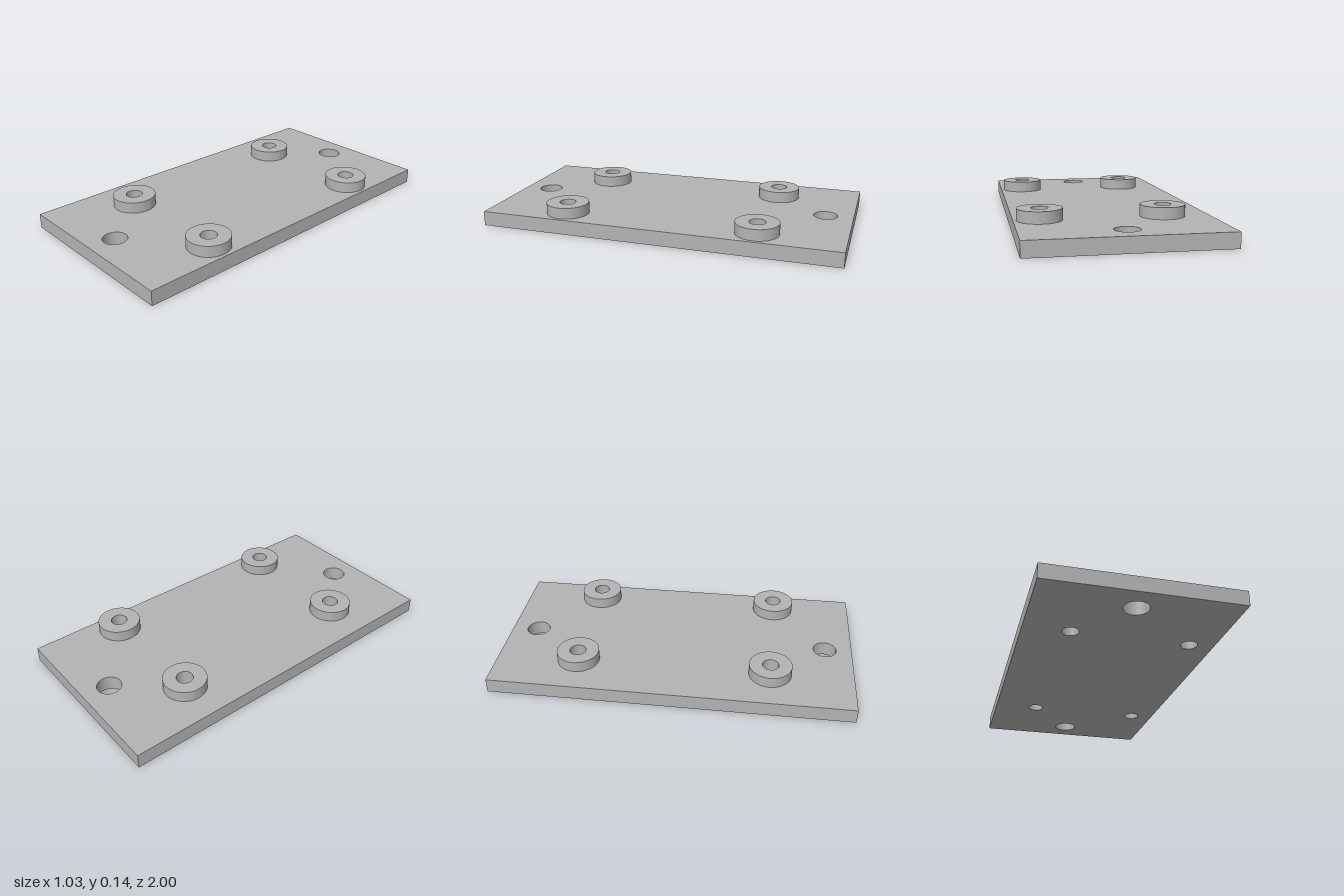
import * as THREE from 'three';
import { toCreasedNormals } from 'three/addons/utils/BufferGeometryUtils.js';

const PLATE = { halfX: 0.513, halfZ: 1, height: 0.082 };
const BOSS = { radius: 0.118, bore: 0.045, top: 0.144 };
const SCREW_RADIUS = 0.066;

const circle = (Kind, x, y, r) => {
  const path = new Kind();
  path.absarc(x, y, r, 0, Math.PI * 2, false);
  return path;
};

// Extrude a plan outline upwards, with smooth bores and sharp rims
function extrudeUp(shape, height) {
  const geometry = new THREE.ExtrudeGeometry(shape, { depth: height, bevelEnabled: false, curveSegments: 48 });
  geometry.rotateX(-Math.PI / 2);
  return toCreasedNormals(geometry, Math.PI / 6);
}

export function createModel() {
  const model = new THREE.Group();
  model.name = 'mountingPlate';
  const grey = new THREE.MeshStandardMaterial({ color: 0xb3b3b3 });
  grey.name = 'grey';

  const bosses = [];
  for (const x of [-0.264, 0.378]) for (const z of [-0.539, 0.539]) bosses.push([x, z]);

  // Base plate with two screw holes and the four boss bores
  const { halfX, halfZ, height } = PLATE;
  const outline = new THREE.Shape([
    new THREE.Vector2(-halfX, -halfZ), new THREE.Vector2(halfX, -halfZ),
    new THREE.Vector2(halfX, halfZ), new THREE.Vector2(-halfX, halfZ),
  ]);
  for (const z of [-0.847, 0.847]) outline.holes.push(circle(THREE.Path, -0.006, -z, SCREW_RADIUS));
  for (const [x, z] of bosses) outline.holes.push(circle(THREE.Path, x, -z, BOSS.bore));
  const plate = new THREE.Mesh(extrudeUp(outline, height), grey);
  plate.name = 'basePlate';
  model.add(plate);

  // Raised standoff rings
  const ring = circle(THREE.Shape, 0, 0, BOSS.radius);
  ring.holes.push(circle(THREE.Path, 0, 0, BOSS.bore));
  const ringGeometry = extrudeUp(ring, BOSS.top - height);
  for (const [x, z] of bosses) {
    const boss = new THREE.Mesh(ringGeometry, grey);
    boss.name = `${z > 0 ? 'front' : 'back'}${x > 0 ? 'Left' : 'Right'}Standoff`;
    boss.position.set(x, height, z);
    model.add(boss);
  }
  return model;
}
